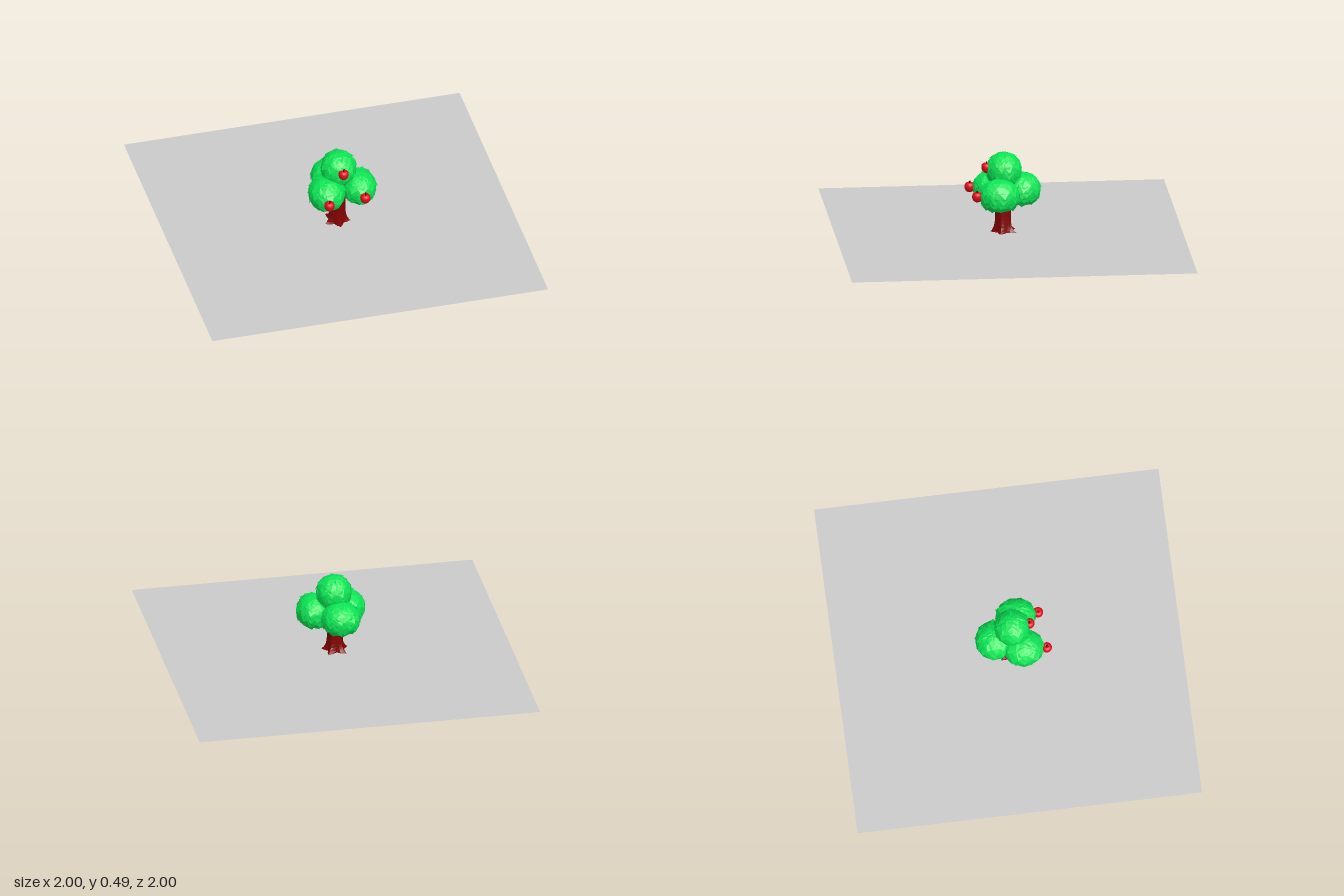
import * as THREE from 'three';
import { mergeGeometries } from 'three/addons/utils/BufferGeometryUtils.js';

function seeded(seed) {
  return () => {
    seed = (seed * 16807) % 2147483647;
    return seed / 2147483647;
  };
}

function material(name, color, options = {}) {
  const m = new THREE.MeshStandardMaterial({ color, ...options });
  m.name = name;
  return m;
}

// Faceted dome with a full, flattened underside, covered in broad leaves whose tips point down
function leafBall(rx, ry, rz, seed) {
  const rand = seeded(seed);
  const core = new THREE.IcosahedronGeometry(0.98, 2);
  core.deleteAttribute('uv');
  const pos = [];
  const point = (polar, around, r) => new THREE.Vector3().setFromSphericalCoords(r, polar, around).toArray();
  const rings = 6;
  for (let i = 0; i < rings; i++) {
    const polar = 0.15 + (i / rings) * 2.35;
    const count = Math.max(5, Math.round(12 * Math.sin(polar + 0.2)));
    for (let j = 0; j < count; j++) {
      const around = ((j + (i % 2) / 2 + (rand() - 0.5) * 0.5) / count) * Math.PI * 2;
      const half = 0.3 / Math.max(0.4, Math.sin(polar + 0.2));
      const lean = (rand() - 0.5) * half * 1.4;
      const top = point(polar - 0.15, around, 0.97);
      const left = point(polar + 0.2, around - half, 0.99);
      const right = point(polar + 0.2, around + half, 0.99);
      const tip = point(polar + 0.5 + rand() * 0.12, around + lean, 1.02 + rand() * 0.06);
      pos.push(...top, ...left, ...tip, ...top, ...tip, ...right);
    }
  }
  const leaves = new THREE.BufferGeometry();
  leaves.setAttribute('position', new THREE.Float32BufferAttribute(pos, 3));
  leaves.computeVertexNormals();
  const ball = mergeGeometries([core, leaves]);
  const p = ball.attributes.position;
  for (let i = 0; i < p.count; i++) {
    const h = Math.hypot(p.getX(i), p.getZ(i));
    const widen = p.getY(i) < 0 && h > 0.01 ? Math.pow(h, -0.4) : 1;
    p.setXYZ(i, p.getX(i) * widen * rx, p.getY(i) * ry, p.getZ(i) * widen * rz);
  }
  ball.computeVertexNormals();
  return ball;
}

// Straight trunk flaring near the ground into five pointed roots
function trunkGeometry() {
  const height = 0.26;
  const geometry = new THREE.CylinderGeometry(1, 1, height, 20, 12, true);
  const p = geometry.attributes.position;
  for (let i = 0; i < p.count; i++) {
    const t = p.getY(i) / height + 0.5;
    const angle = Math.atan2(p.getX(i), p.getZ(i));
    const lobe = Math.pow(0.5 + 0.5 * Math.cos(angle * 5), 1.3);
    const flare = Math.pow(1 - t, 9);
    const r = 0.043 + 0.004 * lobe + flare * (0.004 + 0.041 * lobe);
    const y = t * height + flare * 0.007 * (1 - Math.cos(angle));
    p.setXYZ(i, Math.sin(angle) * r, y, Math.cos(angle) * r);
  }
  geometry.computeVertexNormals();
  return geometry;
}

export function createModel() {
  const model = new THREE.Group();
  model.name = 'appleTree';
  const green = material('leaf green', 0x0ce455, { flatShading: true, side: THREE.DoubleSide });
  const brown = material('bark red brown', 0x820202, { flatShading: true, side: THREE.DoubleSide });
  const red = material('apple red', 0xe60a1c);
  const stemBrown = material('stem brown', 0x4a0806);
  const grey = material('ground grey', 0xcacaca, { side: THREE.DoubleSide });

  const add = (parent, name, geometry, mat, x = 0, y = 0, z = 0) => {
    const mesh = new THREE.Mesh(geometry, mat);
    mesh.name = name;
    mesh.position.set(x, y, z);
    parent.add(mesh);
  };

  // Ground sheet
  add(model, 'ground', new THREE.PlaneGeometry(2, 2).rotateX(-Math.PI / 2), grey, 0, 0.014, 0);

  // Trunk
  add(model, 'trunk', trunkGeometry(), brown, 0, 0, 0.027);

  // Crown: three lower leaf balls and one on top
  const balls = [
    ['rightFoliage', -0.077, 0.262, 0.08, 0.109, 0.097, 0.12],
    ['leftFoliage', 0.12, 0.262, 0.06, 0.102, 0.097, 0.118],
    ['backFoliage', -0.012, 0.265, -0.08, 0.116, 0.097, 0.112],
    ['topFoliage', 0.008, 0.386, 0.025, 0.105, 0.104, 0.105],
  ];
  balls.forEach(([name, x, y, z, rx, ry, rz], i) =>
    add(model, name, leafBall(rx, ry, rz, 101 + i * 977), green, x, y, z));

  // Apples with a dimpled top and a short bent stem
  const profile = [[0, -0.025], [0.013, -0.028], [0.025, -0.016], [0.03, 0.003],
    [0.026, 0.019], [0.015, 0.027], [0.006, 0.024], [0, 0.019]];
  const appleCurve = new THREE.SplineCurve(profile.map(([x, y]) => new THREE.Vector2(x, y)));
  const body = new THREE.LatheGeometry(
    appleCurve.getPoints(20).map((p) => new THREE.Vector2(Math.max(0, p.x), p.y)), 20);
  const stemPath = new THREE.QuadraticBezierCurve3(
    new THREE.Vector3(0, 0.017, 0), new THREE.Vector3(0, 0.03, 0), new THREE.Vector3(0.006, 0.04, 0));
  const stem = new THREE.TubeGeometry(stemPath, 5, 0.004, 6);
  for (const [x, y, z] of [[-0.095, 0.257, 0.213], [0.125, 0.257, 0.19], [0.012, 0.4, 0.126]]) {
    const apple = new THREE.Group();
    apple.name = 'apple';
    apple.position.set(x, y, z);
    add(apple, 'appleBody', body, red);
    add(apple, 'appleStem', stem, stemBrown);
    model.add(apple);
  }

  return model;
}
